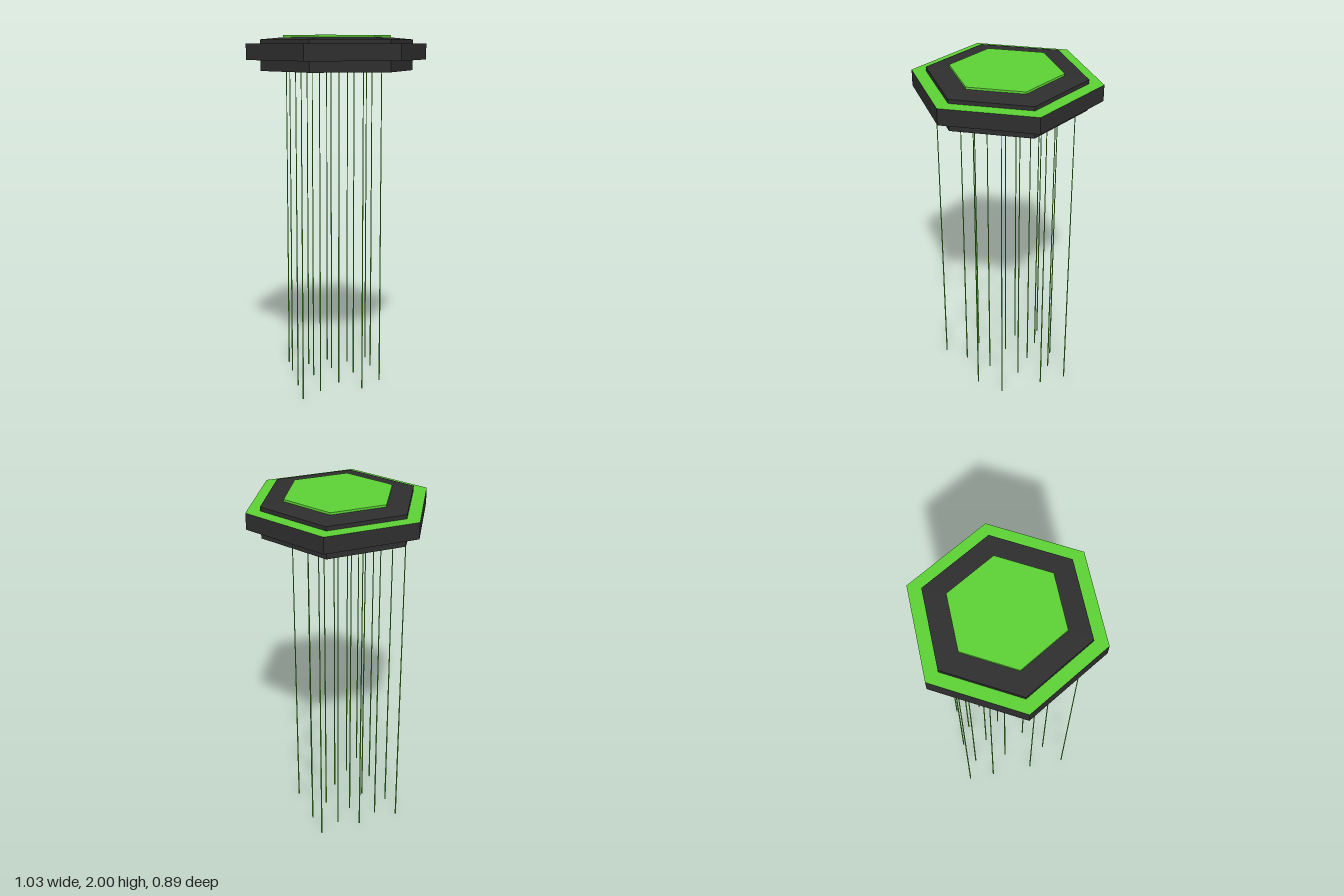
import * as THREE from 'three';

const green = new THREE.MeshStandardMaterial({ color: 0x5cd035, flatShading: true });
const dark = new THREE.MeshStandardMaterial({ color: 0x2e2e2e, flatShading: true });

// Hexagonal prism with corners on the x axis; materials are [side, top, bottom]
function hexPrism(name, rTop, rBottom, yBottom, yTop, materials) {
  const geo = new THREE.CylinderGeometry(rTop, rBottom, yTop - yBottom, 6, 1, false, Math.PI / 2);
  const mesh = new THREE.Mesh(geo, materials);
  mesh.name = name;
  mesh.position.y = (yTop + yBottom) / 2;
  return mesh;
}

function hexPath(PathType, r) {
  const pts = [];
  for (let i = 0; i < 6; i++) {
    pts.push(new THREE.Vector2(r * Math.cos(i * Math.PI / 3), r * Math.sin(i * Math.PI / 3)));
  }
  return new PathType(pts);
}

export function createModel() {
  const model = new THREE.Group();
  model.name = 'hexagonalHangingPlate';

  // Stacked hexagonal plates
  model.add(hexPrism('wideFlange', 0.513, 0.513, 1.865, 1.955, [dark, green, green]));
  model.add(hexPrism('body', 0.434, 0.434, 1.825, 1.977, [dark, dark, green]));
  model.add(hexPrism('slopedTop', 0.306, 0.434, 1.977, 1.988, [dark, dark, dark]));
  model.add(hexPrism('topPanel', 0.306, 0.306, 1.988, 2.0, [green, green, green]));

  // Bottom rim around a shallow recess
  const rimShape = hexPath(THREE.Shape, 0.434);
  rimShape.holes.push(hexPath(THREE.Path, 0.375));
  const rimGeo = new THREE.ExtrudeGeometry(rimShape, { depth: 0.02, bevelEnabled: false });
  rimGeo.rotateX(-Math.PI / 2);
  const rim = new THREE.Mesh(rimGeo, dark);
  rim.name = 'bottomRim';
  rim.position.y = 1.805;
  model.add(rim);
  model.add(hexPrism('bottomPanel', 0.365, 0.355, 1.813, 1.826, [green, green, green]));

  // Thin hanging strands, slightly thicker toward the lower end: [x, z positions]
  const columns = [
    [-0.252, [0.32, 0.105, -0.145, -0.3]],
    [-0.138, [0.217, -0.042, -0.242]],
    [-0.012, [0.105, -0.145, -0.3]],
    [0.103, [0.217, -0.042, -0.242]],
    [0.23, [0.105, -0.145, -0.3]],
  ];
  const strands = new THREE.Group();
  strands.name = 'strands';
  const strandGeo = new THREE.CylinderGeometry(0.0025, 0.004, 1.815, 6);
  for (const [x, zs] of columns) {
    for (const z of zs) {
      const strand = new THREE.Mesh(strandGeo, green);
      strand.name = 'strand';
      strand.position.set(x, 0.9075, z);
      strands.add(strand);
    }
  }
  model.add(strands);

  return model;
}
